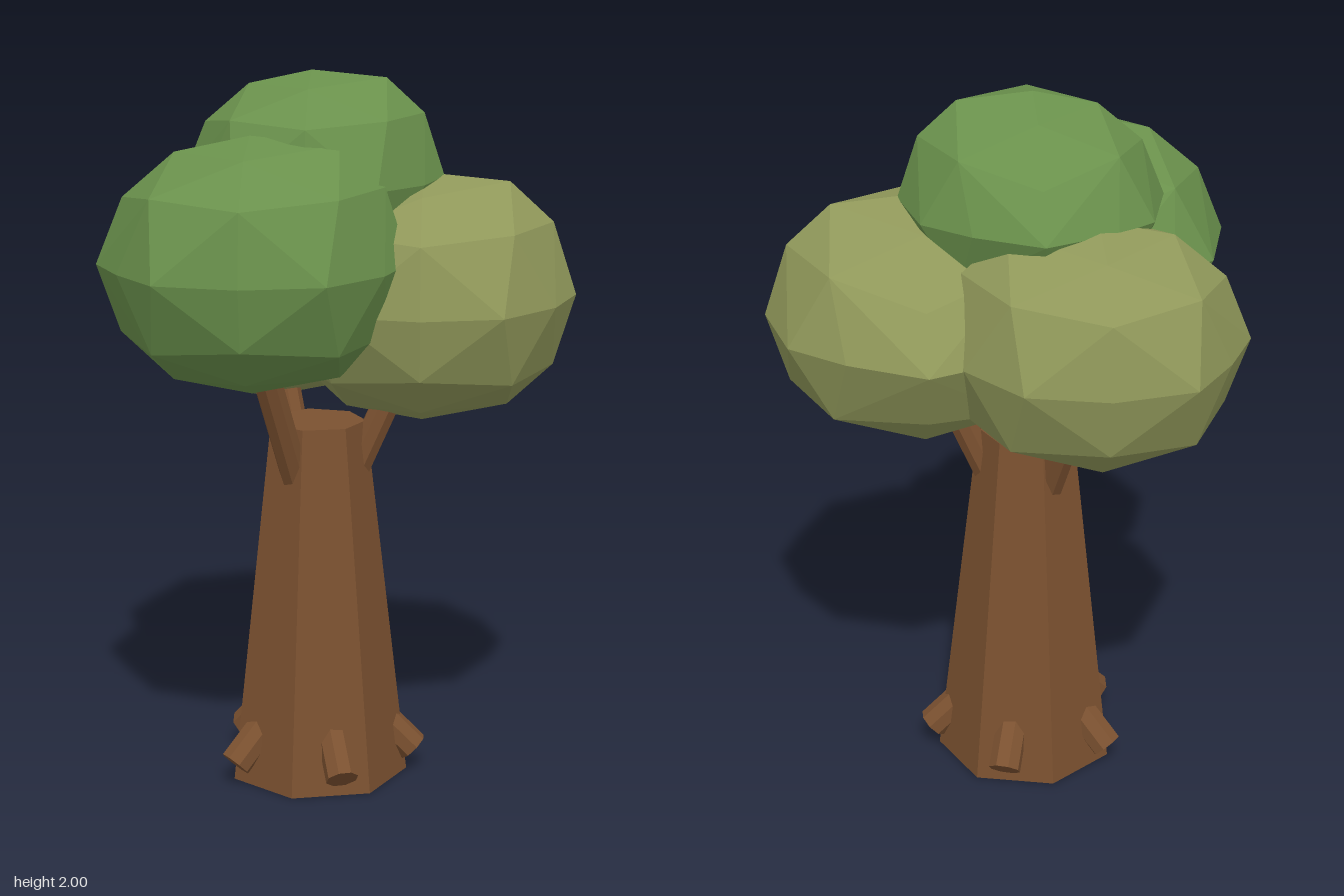
import * as THREE from 'three';
import { ConvexGeometry } from 'three/addons/geometries/ConvexGeometry.js';

const TRUNK_X = -0.073;

const material = (color) => new THREE.MeshStandardMaterial({ color, flatShading: true });

// Uneven crown outlines: seen from the front (x, y), the top (x, z) and the side (z, y)
const FRONT = [[0, 0.343], [0.235, 0.32], [0.355, 0.21], [0.42, 0.01], [0.36, -0.185], [0.235, -0.3],
  [0, -0.347], [-0.21, -0.31], [-0.35, -0.18], [-0.413, 0], [-0.34, 0.18], [-0.2, 0.3]];
const TOP = [[0, 0.373], [0.22, 0.325], [0.36, 0.15], [0.36, -0.215], [0.21, -0.335],
  [0, -0.44], [-0.23, -0.34], [-0.35, -0.25], [-0.335, 0.165], [-0.225, 0.325]];
const SIDE = [[0.34, 0.19], [0.2, 0.3], [-0.185, 0.295], [-0.34, 0.14],
  [-0.35, -0.17], [-0.19, -0.29], [0.19, -0.285], [0.335, -0.17]];

// Hull of the three outlines and one point in each corner between them
function crownGeometry(size, flip) {
  const points = [
    ...FRONT.map(([x, y]) => [x, y, 0]),
    ...TOP.map(([x, z]) => [x, 0, z]),
    ...SIDE.map(([z, y]) => [0, y, z]),
  ];
  for (const x of [-0.24, 0.245])
    for (const y of [-0.2, 0.205])
      for (const z of [-0.235, 0.22]) points.push([x, y, z]);
  return new ConvexGeometry(
    points.map(([x, y, z]) => new THREE.Vector3(x, y, z * flip).multiplyScalar(size)));
}

export function createModel() {
  const tree = new THREE.Group();
  tree.name = 'tree';
  const bark = material(0x7b5130);
  const darkLeaf = material(0x6a914c);
  const oliveLeaf = material(0x90985a);

  const add = (name, geometry, mat) => {
    const mesh = new THREE.Mesh(geometry, mat);
    mesh.name = name;
    tree.add(mesh);
    return mesh;
  };

  // Tapered seven-sided trunk with a corner towards +x
  add('trunk', new THREE.CylinderGeometry(0.138, 0.256, 1.03, 7, 1, false, Math.PI / 2), bark)
    .position.set(TRUNK_X, 0.515, 0);

  // Eight-sided peg between two [distance from trunk axis, height] points, turned about the trunk
  const peg = (name, angle, radius, from, to) => {
    const point = ([r, y]) =>
      new THREE.Vector3(TRUNK_X + r * Math.cos(angle), y, r * Math.sin(angle));
    const a = point(from), b = point(to);
    const mesh = add(name,
      new THREE.CylinderGeometry(radius, radius, a.distanceTo(b), 8, 1, false, Math.PI / 8), bark);
    mesh.position.copy(a).add(b).multiplyScalar(0.5);
    // Turn about the trunk first, then lean outward
    mesh.rotation.order = 'YXZ';
    mesh.rotation.y = -angle;
    mesh.rotation.z = -Math.atan2(to[0] - from[0], to[1] - from[1]);
  };

  // Branches under the three lower crowns
  for (let i = 0; i < 3; i++) {
    peg('branch', (i * Math.PI * 2) / 3, 0.04, [0.1, 0.87], [0.268, 1.25]);
  }

  // Root stubs around the foot
  for (let i = 0; i < 5; i++) {
    peg('rootStub', (i * Math.PI * 2) / 5, 0.046, [0.16, 0.18], [0.275, 0.065]);
  }

  // Faceted leaf crowns
  const crown = (name, mat, position, size, flip) =>
    add(name, crownGeometry(size, flip), mat).position.set(...position);
  crown('topCrown', darkLeaf, [-0.083, 1.706, 0], 0.857, 1);
  crown('frontRightCrown', darkLeaf, [-0.23, 1.507, 0.252], 1, 1);
  crown('backRightCrown', oliveLeaf, [-0.23, 1.385, -0.252], 1, -1);
  crown('leftCrown', oliveLeaf, [0.22, 1.382, 0], 1, 1);

  return tree;
}
